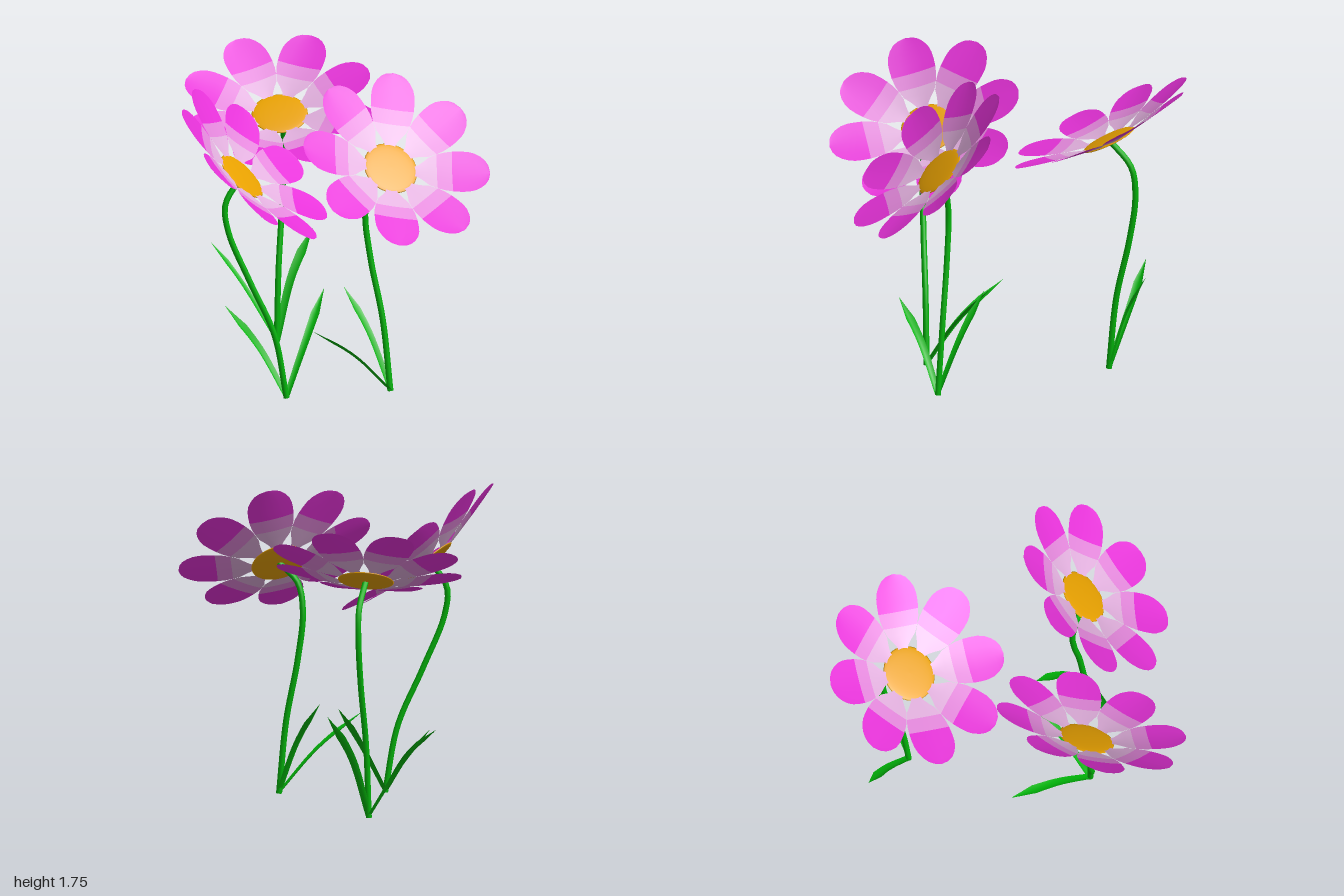
import * as THREE from 'three';

const mat = (name, color, side = THREE.FrontSide) => {
  const m = new THREE.MeshStandardMaterial({ color, side });
  m.name = name;
  return m;
};

// Smooth surface from rows of points, all rows equally long
function grid(rows) {
  const n = rows[0].length, pos = [], idx = [];
  rows.forEach((row, i) => row.forEach((p, j) => {
    pos.push(p.x, p.y, p.z);
    if (i && j) {
      const d = i * n + j, c = d - 1, b = d - n, a = b - 1;
      idx.push(a, c, b, b, c, d);
    }
  }));
  const g = new THREE.BufferGeometry();
  g.setAttribute('position', new THREE.Float32BufferAttribute(pos, 3));
  g.setIndex(idx);
  g.computeVertexNormals();
  return g;
}

// Petal outline: [distance from the head centre, half width]
const petalBands = {
  petalBase: [[0.13, 0.026], [0.16, 0.038], [0.19, 0.062], [0.218, 0.088], [0.262, 0.108]],
  petalMiddle: [[0.262, 0.108], [0.3, 0.12], [0.345, 0.127]],
  petalTip: [[0.345, 0.127], [0.39, 0.129], [0.43, 0.127], [0.465, 0.118], [0.5, 0.098],
    [0.525, 0.075], [0.542, 0.046], [0.551, 0.004]],
};

function petalBand(outline) {
  return grid(outline.map(([r, w]) => [-1, -0.5, 0, 0.5, 1].map((t) =>
    new THREE.Vector3(r, 0.25 * (r - 0.13) + 0.008 * t * t * (w / 0.125), -t * w))));
}

const V = (a) => new THREE.Vector3(...a);

// Head position and facing, petal phase in degrees, stem path, leaf paths and rolls
const flowers = [
  {
    name: 'leftwardFlower', head: [-0.44, 1.31, 0.1], facing: [0.41, 0.73, 0.55], phase: 17,
    stem: [[-0.24, 0.008, 0.25], [-0.3, 0.38, 0.215], [-0.42, 0.7, 0.145], [-0.523, 1, 0.08], [-0.53, 1.16, 0.065]],
    leaves: [
      { path: [[-0.24, 0.01, 0.25], [-0.04, 0.29, 0.19], [0.17, 0.525, 0.1]], roll: 0 },
      { path: [[-0.24, 0.01, 0.25], [-0.24, 0.24, 0.02], [-0.24, 0.42, -0.27]], roll: 0 },
    ],
  },
  {
    name: 'frontFlower', head: [0.285, 1.307, 0.53], facing: [-0.17, 0.7, 0.69], phase: 13,
    stem: [[0.28, 0.008, 0.535], [0.262, 0.42, 0.49], [0.222, 0.77, 0.433], [0.203, 1.04, 0.41], [0.215, 1.2, 0.445]],
    leaves: [
      { path: [[0.28, 0.01, 0.535], [0.05, 0.25, 0.49], [-0.22, 0.44, 0.45]], roll: 0 },
      { path: [[0.28, 0.01, 0.535], [0.265, 0.31, 0.37], [0.235, 0.545, 0.19]], roll: 0 },
    ],
  },
  {
    name: 'backFlower', head: [0.403, 1.34, -0.54], facing: [-0.29, 0.9, 0.31], phase: 30,
    stem: [[0.39, 0.008, -0.55], [0.425, 0.42, -0.575], [0.49, 0.77, -0.62], [0.518, 1.02, -0.64], [0.503, 1.19, -0.622]],
    leaves: [
      { path: [[0.39, 0.01, -0.55], [0.52, 0.35, -0.575], [0.69, 0.6, -0.59]], roll: 0.5 },
      { path: [[0.39, 0.01, -0.55], [0.31, 0.31, -0.75], [0.22, 0.54, -0.92]], roll: 0 },
    ],
  },
];

// Narrow folded strap following a curve, pointed at the end
function leafGeometry({ path, roll }) {
  const curve = new THREE.CatmullRomCurve3(path.map(V));
  const up = new THREE.Vector3(0, 1, 0), rows = [];
  for (let i = 0; i <= 16; i++) {
    const t = i / 16, p = curve.getPoint(t), dir = curve.getTangent(t);
    const side = dir.clone().cross(up).normalize().applyAxisAngle(dir, roll);
    const out = side.clone().cross(dir).normalize();
    const w = t < 0.75 ? 0.018 + 0.008 * (t / 0.75) : 0.026 * (1 - (t - 0.75) / 0.25) + 0.0005;
    rows.push([-1, 0, 1].map((s) => p.clone().addScaledVector(side, s * w)
      .addScaledVector(out, s ? w * 0.25 : -w * 0.25)));
  }
  return grid(rows);
}

export function createModel() {
  const group = new THREE.Group();
  group.name = 'flowers';
  const green = mat('stem green', 0x00b208);
  const leafGreen = mat('leaf green', 0x00b208, THREE.DoubleSide);
  const gold = mat('gold', 0xeca400);
  const bandMats = {
    petalBase: mat('pale lilac', 0xe2b0de, THREE.DoubleSide),
    petalMiddle: mat('lilac pink', 0xe488dc, THREE.DoubleSide),
    petalTip: mat('magenta', 0xee34e0, THREE.DoubleSide),
  };
  const bandGeos = Object.fromEntries(
    Object.entries(petalBands).map(([k, outline]) => [k, petalBand(outline)]));

  // Thin lens-shaped flower centre
  const profile = [];
  for (let i = 0; i <= 12; i++) {
    const a = -Math.PI / 2 + (Math.PI * i) / 12;
    profile.push(new THREE.Vector2(Math.max(0, 0.157 * Math.cos(a)), 0.012 * Math.sin(a)));
  }
  const discGeo = new THREE.LatheGeometry(profile, 32);

  const add = (parent, name, geo, material) => {
    const m = new THREE.Mesh(geo, material);
    m.name = name;
    parent.add(m);
    return m;
  };

  for (const f of flowers) {
    const flower = new THREE.Group();
    flower.name = f.name;
    group.add(flower);

    // Stem with a closed foot
    const path = new THREE.CatmullRomCurve3([...f.stem, f.head].map(V));
    add(flower, 'stem', new THREE.TubeGeometry(path, 36, 0.017, 10), green);
    const foot = add(flower, 'stemFoot', new THREE.CircleGeometry(0.018, 10), green);
    foot.rotation.x = Math.PI / 2;
    foot.position.set(f.stem[0][0], 0.004, f.stem[0][2]);

    f.leaves.forEach((l) => add(flower, 'leaf', leafGeometry(l), leafGreen));

    // Head tilted to its facing direction
    const head = new THREE.Group();
    head.name = 'flowerHead';
    head.position.copy(V(f.head));
    head.quaternion.setFromUnitVectors(new THREE.Vector3(0, 1, 0), V(f.facing).normalize());
    flower.add(head);
    add(head, 'flowerCentre', discGeo, gold);
    for (let i = 0; i < 8; i++) {
      const petal = new THREE.Group();
      petal.name = 'petal';
      petal.rotation.y = THREE.MathUtils.degToRad(f.phase + i * 45);
      for (const k in bandGeos) add(petal, k, bandGeos[k], bandMats[k]);
      head.add(petal);
    }
  }
  return group;
}
